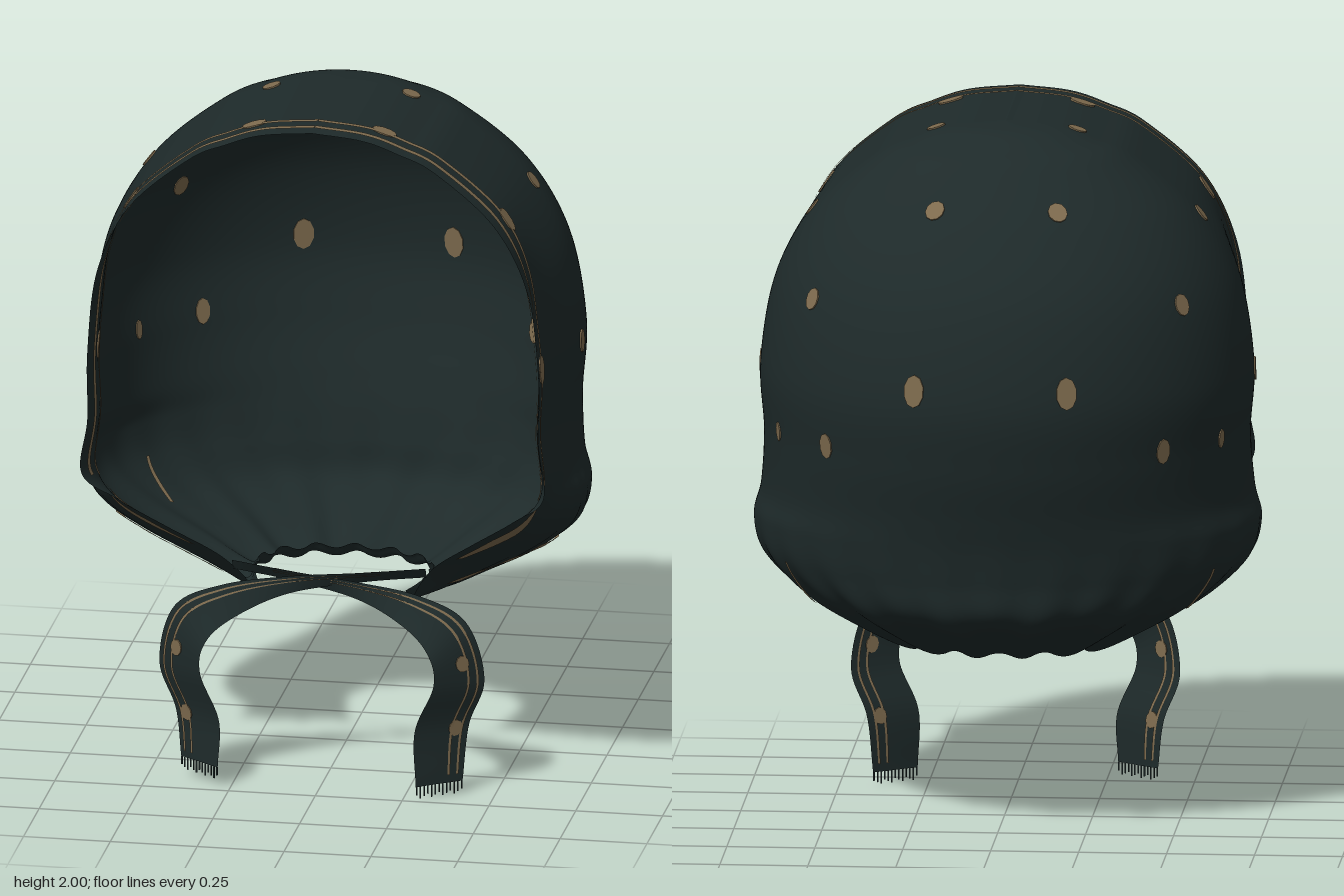
import * as THREE from 'three';

const V = (x, y, z) => new THREE.Vector3(x, y, z);
const { smoothstep, lerp } = THREE.MathUtils;

// Horizontal sections, crown to nape, with a small inward curl at the end:
// height, half width, back z | rim half width, rim z, z of the widest point
const sections = [
  [2.0, 0, 0.05, 0, 0.555, 0.06],
  [1.985, 0.15, -0.06, 0.145, 0.555, 0.06],
  [1.95, 0.26, -0.14, 0.25, 0.555, 0.06],
  [1.9, 0.365, -0.225, 0.355, 0.555, 0.07],
  [1.75, 0.54, -0.375, 0.525, 0.555, 0.08],
  [1.55, 0.655, -0.5, 0.62, 0.545, 0.1],
  [1.3, 0.7, -0.555, 0.65, 0.535, 0.1],
  [1.1, 0.69, -0.53, 0.65, 0.535, 0.1],
  [0.94, 0.7, -0.485, 0.665, 0.545, 0.12],
  [0.85, 0.72, -0.46, 0.57, 0.49, 0.12],
  [0.75, 0.69, -0.44, 0.44, 0.415, 0.1],
  [0.65, 0.58, -0.42, 0.32, 0.32, 0.06],
  [0.57, 0.44, -0.33, 0.26, 0.25, 0.03],
  [0.5, 0.29, -0.19, 0.22, 0.2, 0.02],
  [0.535, 0.25, -0.14, 0.21, 0.225, 0.02],
];
const spline = (pts) => new THREE.CatmullRomCurve3(pts, false, 'catmullrom', 0.5);
const outerCurve = spline(sections.map((s) => V(s[0], s[1], s[2])));
const rimCurve = spline(sections.map((s) => V(s[3], s[4], s[5])));

// Hood surface: t runs crown to nape, a runs rim (0) past the widest point (1) to centre back (2)
function hoodPoint(t, a, side) {
  const { x: y, y: w, z: zb } = outerCurve.getPoint(t);
  const { x: xr, y: zr, z: zc } = rimCurve.getPoint(t);
  let x, z;
  if (a < 1) {
    // the cloth draws in slightly behind the flared rim
    const dip = 0.035 * smoothstep(y, 0.78, 0.92) * smoothstep(1.8 - y, 0, 0.4);
    x = w - (w - xr) * (1 - a) ** 2 - dip * Math.sin(Math.PI * (1 - a) ** 2);
    z = zr + (zc - zr) * a;
  } else {
    const q = (a - 1) * Math.PI / 2;
    x = w * Math.cos(q);
    z = zc - (zc - zb) * Math.sin(q);
  }
  // gathers towards the nape
  const k = smoothstep(0.95 - y, 0, 0.45) * smoothstep(a, 0.3, 0.9);
  const f = 1 + 0.013 * k * Math.cos(a * Math.PI * 13);
  return V(side * x * f, y + 0.008 * k * k * Math.cos(a * Math.PI * 7), z * f);
}

function hoodFrame(t, a, side) {
  const e = 0.004;
  const p = hoodPoint(t, a, side);
  const dt = hoodPoint(Math.min(t + e, 1), a, side).sub(hoodPoint(Math.max(t - e, 0), a, side)).normalize();
  const da = hoodPoint(t, Math.min(a + e, 2), side).sub(hoodPoint(t, Math.max(a - e, 0), side)).normalize();
  const n = dt.clone().cross(da).multiplyScalar(side).normalize();
  return { p, dt, n };
}

// t for a given height
function tAt(y) {
  let lo = 0, hi = 1;
  for (let i = 0; i < 30; i++) {
    const m = (lo + hi) / 2;
    if (outerCurve.getPoint(m).x > y) lo = m; else hi = m;
  }
  return lo;
}

// Smooth sheet from a rule over u, v in 0..1
function sheet(fn, nu, nv) {
  const g = new THREE.PlaneGeometry(1, 1, nu, nv);
  const uv = g.attributes.uv, pos = g.attributes.position;
  for (let i = 0; i < pos.count; i++) {
    const p = fn(uv.getX(i), 1 - uv.getY(i));
    pos.setXYZ(i, p.x, p.y, p.z);
  }
  g.computeVertexNormals();
  return g;
}

export function createModel() {
  const model = new THREE.Group();
  const cloth = new THREE.MeshStandardMaterial({ color: 0x1e2a2a, side: THREE.DoubleSide });
  cloth.name = 'darkTealCloth';
  const trim = new THREE.MeshStandardMaterial({ color: 0x7e6b4e, side: THREE.DoubleSide });
  trim.name = 'tanPrint';

  const add = (geometry, material, name) => {
    const m = new THREE.Mesh(geometry, material);
    m.name = name;
    model.add(m);
    return m;
  };

  // Hood
  add(sheet((u, v) => (u < 0.5 ? hoodPoint(v, 4 * u, 1) : hoodPoint(v, 4 * (1 - u), -1)), 200, 140), cloth, 'hood');

  // Printed bands from (yA, aA) to (yB, aB), shown on both faces of the cloth
  const band = (yA, yB, aA, aB, wA, wB, name) => {
    const tA = tAt(yA), tB = tAt(yB);
    for (const side of [1, -1]) for (const off of [0.0045, -0.0045]) {
      add(sheet((u, v) => {
        const { p, n } = hoodFrame(lerp(tA, tB, v), lerp(aA, aB, v) + (u - 0.5) * lerp(wA, wB, v), side);
        return p.addScaledVector(n, off);
      }, 6, 70), trim, name);
    }
  };
  band(2, 0.92, 0.1, 0.1, 0.044, 0.044, 'rimStripe');
  band(2, 0.9, 0.215, 0.22, 0.038, 0.038, 'innerStripe');
  band(0.87, 0.77, 0.2, 0.13, 0.04, 0.13, 'hemPatch');
  band(0.77, 0.68, 0.13, 0.06, 0.13, 0.04, 'hemPatch');
  band(0.7, 0.55, 0.8, 0.34, 0.07, 0.17, 'gatherPatch');
  band(0.76, 0.64, 1.327, 1.25, 0.014, 0.014, 'gatherPatch');

  // Printed dots: height, z, half width, half length
  const disc = (p, n, up, sx, sy, name) => {
    const m = add(new THREE.CylinderGeometry(1, 1, 0.0075, 10), trim, name);
    const side = up.clone().cross(n).normalize();
    m.quaternion.setFromRotationMatrix(new THREE.Matrix4().makeBasis(side, n, side.clone().cross(n)));
    m.scale.set(sx, 1, sy);
    m.position.copy(p);
  };
  const dots = [
    [1.972, 0.08, 0.027, 0.027], [1.975, 0.432, 0.026, 0.036],
    [1.735, 0.08, 0.026, 0.028], [1.735, 0.435, 0.026, 0.038],
    [1.28, 0.127, 0.023, 0.034], [1.29, 0.43, 0.024, 0.042],
    [1.54, -0.265, 0.026, 0.032], [1.807, -0.298, 0.028, 0.032],
    [1.33, -0.52, 0.03, 0.047], [1.135, -0.36, 0.023, 0.038],
    [1.135, -0.167, 0.014, 0.028],
  ];
  for (const [y, z, sx, sy] of dots) {
    const t = tAt(y), zb = outerCurve.getPoint(t).z, { y: zr, z: zc } = rimCurve.getPoint(t);
    const a = z > zc ? (zr - z) / (zr - zc) : 1 + Math.asin(Math.min(1, (zc - z) / (zc - zb))) / (Math.PI / 2);
    for (const side of [1, -1]) {
      const { p, dt, n } = hoodFrame(t, a, side);
      disc(p, n, dt, sx, sy, 'dot');
    }
  }

  // Ties: each starts at one cheek, crosses under the chin and hangs on the other side
  const centre = [[-0.28, 0.605, 0.275], [-0.1, 0.597, 0.325], [0.1, 0.58, 0.375], [0.265, 0.543, 0.43],
    [0.37, 0.475, 0.45], [0.402, 0.34, 0.435], [0.352, 0.2, 0.43], [0.345, 0.035, 0.435]];
  const half = [[0, 0.016, 0.01], [0, 0.018, 0.012], [0, 0.026, 0], [0.02, 0.043, -0.015],
    [0.05, 0.042, -0.03], [0.066, 0.002, -0.042], [0.07, 0, -0.045], [0.06, 0, -0.042]];
  for (const side of [1, -1]) {
    const name = side > 0 ? 'leftTie' : 'rightTie';
    const drop = side > 0 ? 0 : 0.025;
    const mid = spline(centre.map(([x, y, z], i) =>
      V(side * x, y + (i === 7 ? drop : 0) - (i < 3 ? side * 0.006 : 0), z - (i < 3 ? side * 0.008 : 0))));
    const wide = spline(half.map(([x, y, z]) => V(side * x, y, z)));
    const at = (s, h, off = 0) => {
      const w = wide.getPoint(s);
      const n = mid.getTangent(s).cross(w).normalize();
      return mid.getPoint(s).addScaledVector(w, h).addScaledVector(n, off);
    };
    add(sheet((u, v) => at(v, 2 * u - 1), 4, 60), cloth, name);
    for (const off of [0.004, -0.004]) for (const h of [0.36, 0.72]) {
      add(sheet((u, v) => at(0.1 + v * 0.88, h + 0.1 * (u - 0.5), off), 1, 60), trim, name + 'Stripe');
    }
    for (const [s, h] of [[0.66, 0.2], [0.86, 0.5]]) {
      const n = mid.getTangent(s).cross(wide.getPoint(s)).normalize();
      disc(at(s, h), n, mid.getTangent(s), 0.02, 0.025, name + 'Dot');
    }
    // Frayed end
    for (let i = 0; i < 13; i++) {
      const p = at(1, -0.96 + i * 0.16);
      const len = 0.024 + 0.011 * ((i * 5) % 3) / 2;
      const thread = add(new THREE.BoxGeometry(0.004, len, 0.004), cloth, name + 'Fringe');
      thread.position.set(p.x, p.y - len / 2, p.z);
    }
  }
  return model;
}
